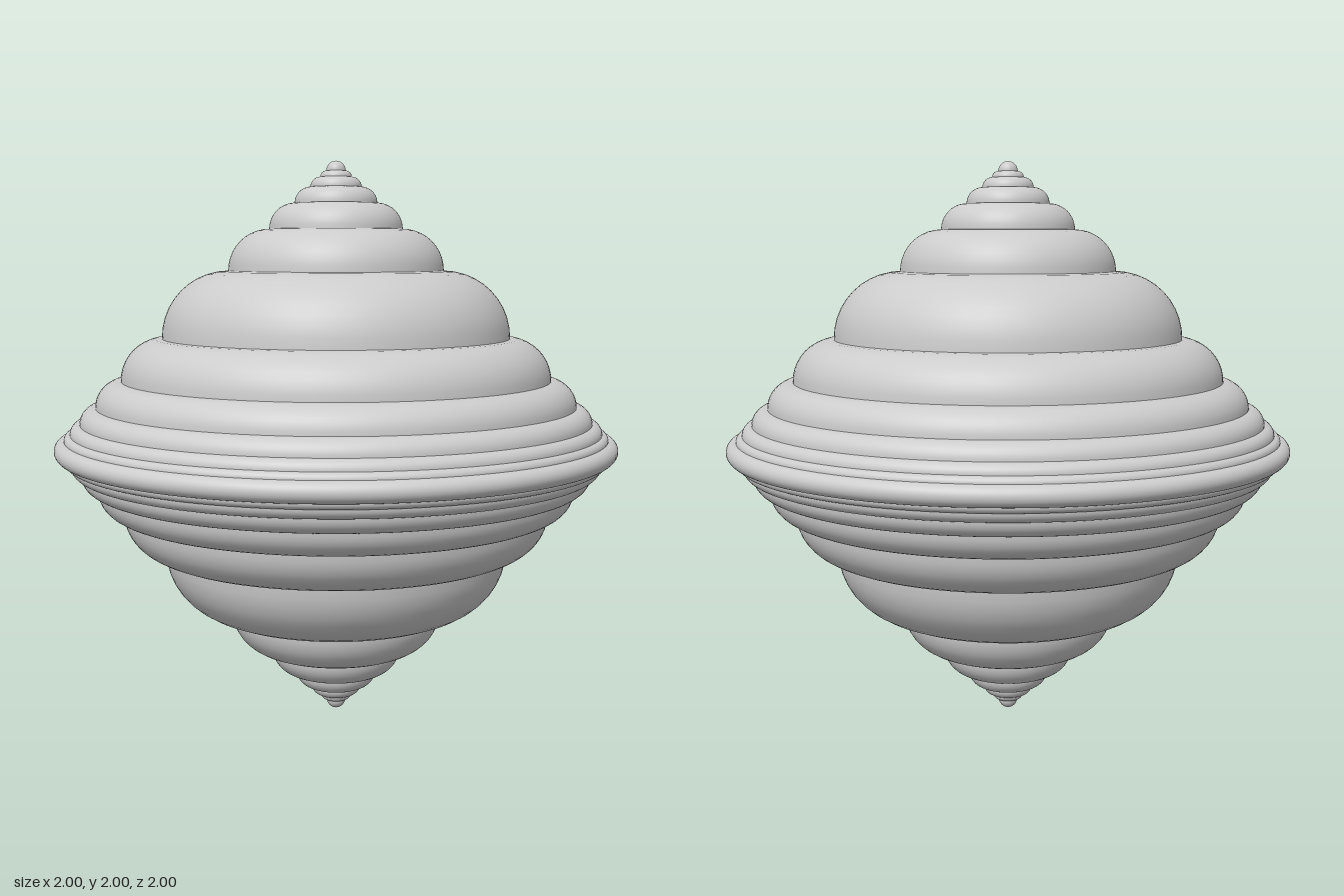
import * as THREE from 'three';

const SEGMENTS = 128;
const ARC_STEPS = 10;

// Outer radii of the tiers, tip to rim: golden-ratio steps mirrored about the middle
const RADII = [0.0344, 0.0557, 0.0902, 0.1459, 0.2361, 0.382, 0.618, 0.7639, 0.8541, 0.9098, 0.9443, 0.9656];

export function createModel() {
  const group = new THREE.Group();
  const material = new THREE.MeshStandardMaterial({ color: 0xcccccc });

  // Revolves a circular arc about the axis; angles run from bottom to top
  function addTier(name, inner, outer, y, from, to, steps) {
    const r = outer - inner;
    const points = [];
    for (let i = 0; i <= steps; i++) {
      const a = from + (to - from) * i / steps;
      points.push(new THREE.Vector2(Math.max(0, inner + r * Math.cos(a)), y + r * Math.sin(a)));
    }
    const mesh = new THREE.Mesh(new THREE.LatheGeometry(points, SEGMENTS), material);
    mesh.name = name;
    group.add(mesh);
  }

  // Quarter-round tiers stepping out from both tips along a 45 degree line
  RADII.forEach((outer, i) => {
    const inner = i ? RADII[i - 1] : 0;
    const part = i ? 'Tier' + i : 'Tip';
    addTier('upper' + part, inner, outer, 2 - outer, 0, Math.PI / 2, ARC_STEPS);
    addTier('lower' + part, inner, outer, outer, -Math.PI / 2, 0, ARC_STEPS);
  });

  // Half-round rim at the equator
  addTier('rim', RADII[RADII.length - 1], 1, 1, -Math.PI / 2, Math.PI / 2, 2 * ARC_STEPS);

  return group;
}
